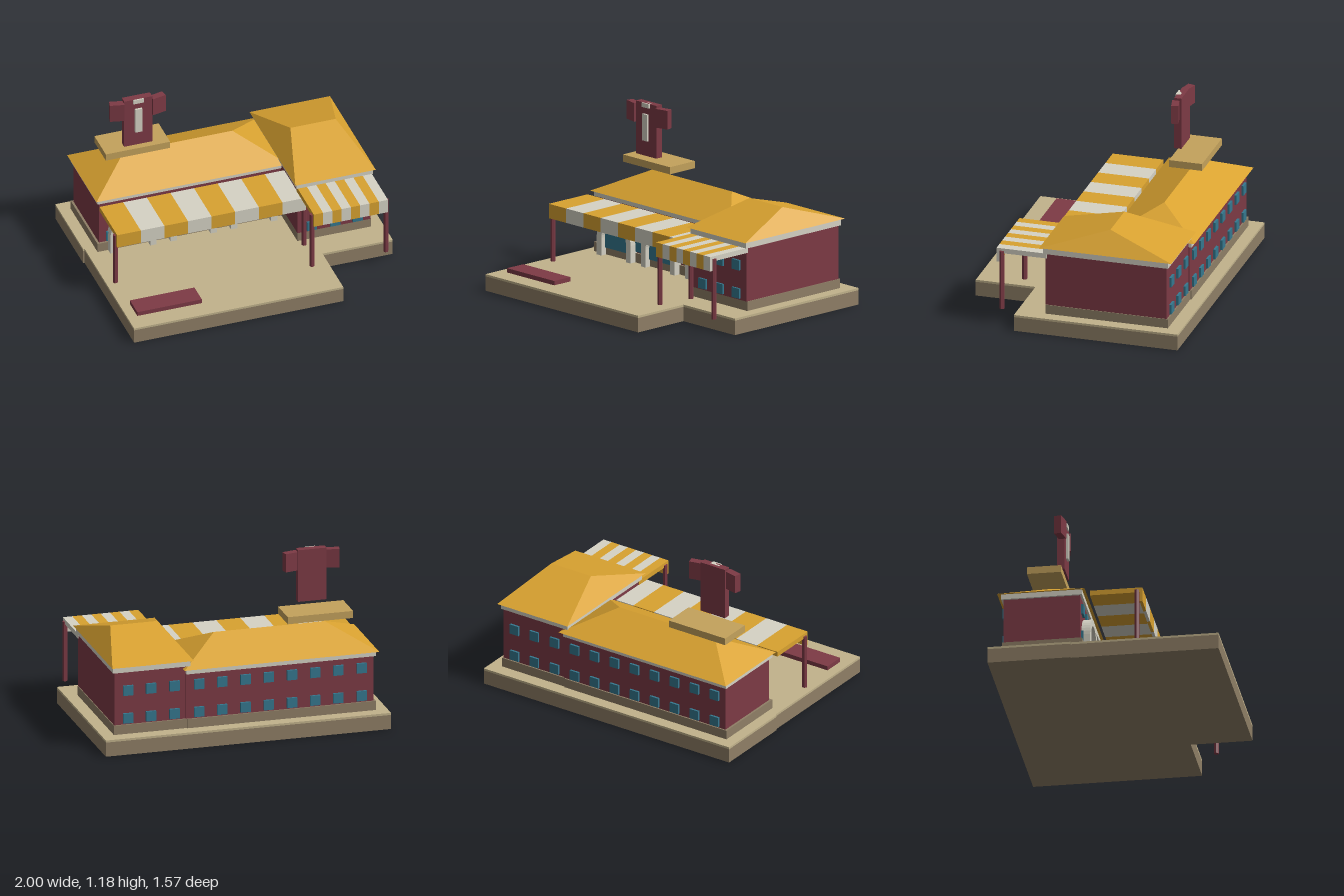
import * as THREE from 'three';

const mat = (color) => new THREE.MeshStandardMaterial({ color, flatShading: true });

export function createModel() {
  const root = new THREE.Group();
  const gold = mat(0xd9a230), white = mat(0xd6d3c5), red = mat(0x7d3a45), teal = mat(0x35788f);
  const stone = mat(0x8f7f66), paving = mat(0xc2b38c), timber = mat(0xc4a25c);

  const add = (name, geometry, material, parent = root) => {
    const mesh = new THREE.Mesh(geometry, material);
    mesh.name = name;
    parent.add(mesh);
    return mesh;
  };
  const group = (name) => {
    const g = new THREE.Group();
    g.name = name;
    root.add(g);
    return g;
  };
  // Box given by its limits on each axis
  const box = (name, [x0, x1], [y0, y1], [z0, z1], material, parent) => {
    const mesh = add(name, new THREE.BoxGeometry(x1 - x0, y1 - y0, z1 - z0), material, parent);
    mesh.position.set((x0 + x1) / 2, (y0 + y1) / 2, (z0 + z1) / 2);
    return mesh;
  };

  // L-shaped ground slab with a paved top
  const plan = new THREE.Shape([
    [-1, 0.785], [1, 0.785], [1, -0.365], [0.5, -0.365],
    [0.5, -0.785], [-0.99, -0.785], [-0.99, 0.22], [-1, 0.22],
  ].map(([x, y]) => new THREE.Vector2(x, y)));
  const slab = (name, y, depth, material) => {
    const geo = new THREE.ExtrudeGeometry(plan, { depth, bevelEnabled: false });
    geo.rotateX(-Math.PI / 2);
    add(name, geo, material).position.y = y;
  };
  slab('groundSlab', 0, 0.1, stone);
  slab('paving', 0.1, 0.015, paving);

  // Hipped roof: eave rectangle rising to a ridge along x
  const hipRoof = (name, [x0, x1], [z0, z1], [r0, r1], rz, y0, y1, parent) => {
    const p = [[x0, y0, z1], [x1, y0, z1], [x1, y0, z0], [x0, y0, z0], [r0, y1, rz], [r1, y1, rz]];
    const faces = [0, 1, 5, 0, 5, 4, 1, 2, 5, 2, 3, 4, 2, 4, 5, 3, 0, 4, 0, 3, 2, 0, 2, 1];
    const geo = new THREE.BufferGeometry();
    geo.setAttribute('position', new THREE.Float32BufferAttribute(faces.flatMap((i) => p[i]), 3));
    geo.computeVertexNormals();
    add(name, geo, gold, parent);
  };

  // Two rows of windows on a wall facing +z or -z
  const windows = (xs, z, parent) => {
    for (const x of xs) for (const y of [0.19, 0.387]) {
      box('window', [x - 0.035, x + 0.035], [y, y + 0.07], [z - 0.015, z + 0.015], teal, parent);
    }
  };
  const row = (start, end, n) => Array.from({ length: n }, (_, i) => start + (end - start) * i / (n - 1));

  // Main hall
  const hall = group('mainHall');
  box('plinth', [-0.92, 0.4], [0.115, 0.18], [-0.7, -0.155], stone, hall);
  box('walls', [-0.905, 0.41], [0.18, 0.5], [-0.69, -0.17], red, hall);
  box('cornice', [-0.92, 0.41], [0.5, 0.536], [-0.705, -0.155], white, hall);
  hipRoof('roof', [-0.935, 0.43], [-0.73, -0.135], [-0.64, 0.137], -0.43, 0.536, 0.685, hall);
  windows(row(-0.82, 0.32, 8), -0.17, hall);
  windows(row(-0.82, 0.32, 8), -0.69, hall);

  // Side wing
  const wing = group('sideWing');
  box('plinth', [0.39, 0.915], [0.115, 0.18], [-0.692, 0.168], stone, wing);
  box('walls', [0.39, 0.91], [0.18, 0.555], [-0.682, 0.17], red, wing);
  box('cornice', [0.378, 0.922], [0.553, 0.597], [-0.695, 0.185], white, wing);
  hipRoof('roof', [0.362, 0.935], [-0.722, 0.207], [0.49, 0.812], -0.257, 0.597, 0.74, wing);
  windows([0.49, 0.655, 0.815], 0.17, wing);
  windows([0.49, 0.655, 0.815], -0.682, wing);

  // Round-headed opening: two straight sides closed by a half circle
  const archPath = (target, r, bottom, spring) => {
    target.moveTo(-r, bottom);
    target.lineTo(r, bottom);
    target.lineTo(r, spring);
    target.absarc(0, spring, r, 0, Math.PI, false);
    target.lineTo(-r, bottom);
    return target;
  };

  // Three arched entrances, each a white surround and a glazed panel
  for (const x of [-0.68, -0.25, 0.18]) {
    const entrance = group('archedEntrance');
    entrance.position.set(x, 0, -0.17);
    const surround = new THREE.Shape();
    surround.moveTo(-0.165, 0.115);
    surround.lineTo(-0.12, 0.115);
    surround.lineTo(-0.12, 0.237);
    surround.absarc(0, 0.237, 0.12, Math.PI, 0, true);
    surround.lineTo(0.12, 0.115);
    surround.lineTo(0.165, 0.115);
    surround.lineTo(0.165, 0.237);
    surround.absarc(0, 0.237, 0.165, 0, Math.PI, false);
    surround.lineTo(-0.165, 0.115);
    add('archSurround', new THREE.ExtrudeGeometry(surround, { depth: 0.06, bevelEnabled: false, curveSegments: 10 }), white, entrance);
    const glass = archPath(new THREE.Shape(), 0.122, 0.165, 0.237);
    add('archGlass', new THREE.ExtrudeGeometry(glass, { depth: 0.025, bevelEnabled: false, curveSegments: 10 }), teal, entrance);
  }

  // Striped awning with a hanging front valance and two hexagonal posts
  const awning = (name, [x0, x1], [z0, z1], top, thick, postXs, postZ, postTop) => {
    const g = group(name);
    const w = (x1 - x0) / 8;
    for (let i = 0; i < 8; i++) {
      const xs = [x0 + i * w, x0 + (i + 1) * w], m = i % 2 ? white : gold;
      box('awningStripe', xs, [top - thick, top], [z0, z1 - 0.02], m, g);
      box('valanceStripe', xs, [top - 0.1, top], [z1 - 0.02, z1], m, g);
    }
    for (const x of postXs) {
      const h = postTop - 0.115;
      const geo = new THREE.CylinderGeometry(0.018, 0.018, h, 6).rotateY(Math.PI / 6);
      add('awningPost', geo, red, g).position.set(x, 0.115 + h / 2, postZ);
    }
  };
  awning('hallAwning', [-0.925, 0.42], [-0.1, 0.257], 0.519, 0.035, [-0.925, 0.42], 0.22, 0.5);
  awning('wingAwning', [0.386, 0.915], [0.16, 0.512], 0.554, 0.035, [0.386, 0.912], 0.475, 0.536);

  // Low platform in the forecourt
  box('forecourtPlatform', [-0.92, -0.46], [0.115, 0.145], [0.5, 0.65], red);

  // Shirt-shaped rooftop sign over a floating board
  box('signBoard', [-0.805, -0.347], [0.73, 0.78], [-0.547, -0.315], timber);
  const shirt = group('shirtSign');
  shirt.position.set(-0.575, 0, -0.337);
  box('shirtBody', [-0.1, 0.1], [0.815, 1.182], [-0.025, 0.025], red, shirt);
  box('shirtFrontStrip', [-0.025, 0.025], [0.922, 1.107], [0, 0.04], white, shirt);
  box('shirtCollar', [-0.036, 0.036], [1.152, 1.182], [0, 0.035], white, shirt);
  for (const s of [-1, 1]) {
    const sleeve = add('shirtSleeve', new THREE.BoxGeometry(0.1, 0.13, 0.05), red, shirt);
    sleeve.position.set(s * 0.145, 1.1, 0.003);
    sleeve.rotation.y = s * 0.22;
  }

  return root;
}
